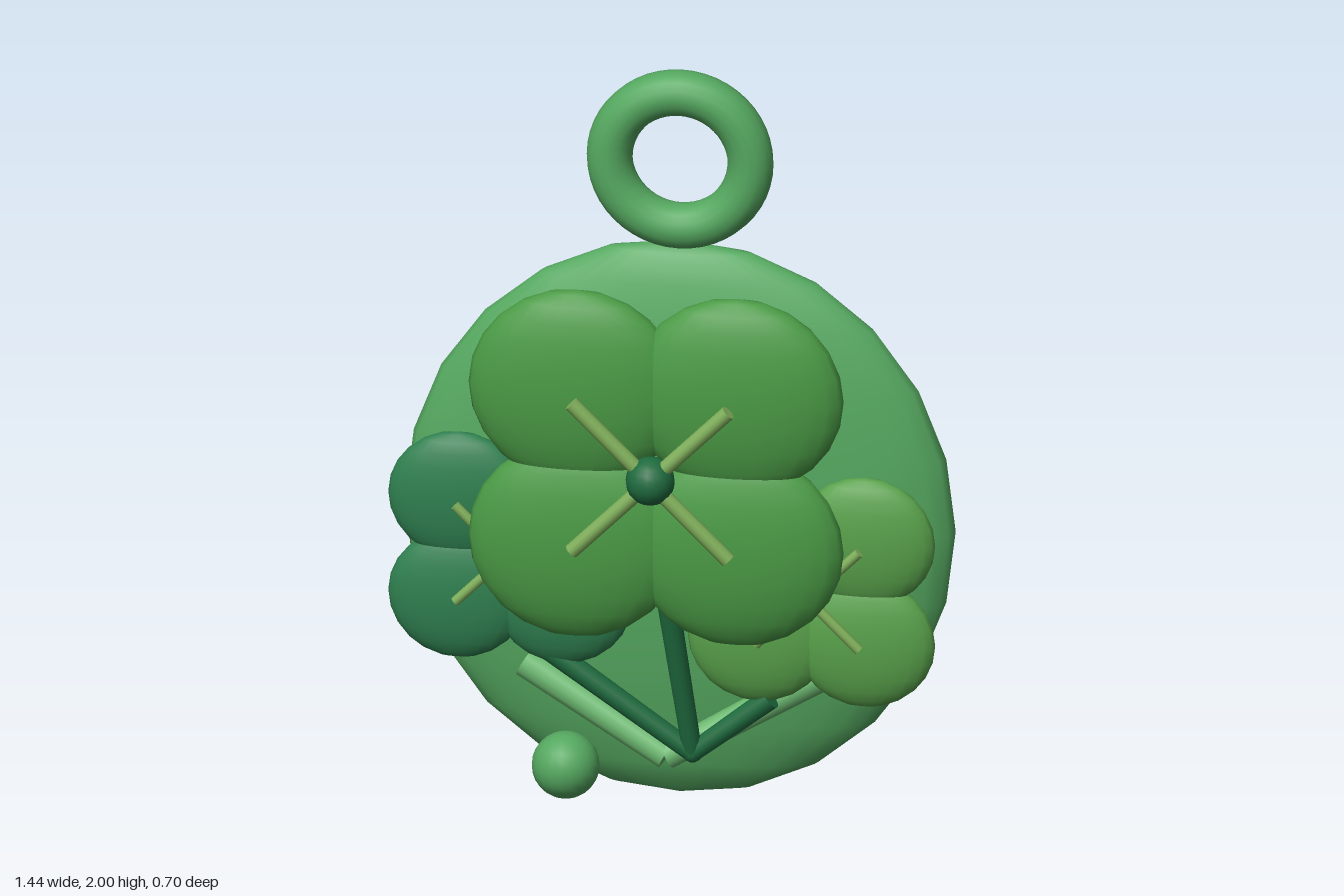
import * as THREE from 'three';

const mat = (color) => new THREE.MeshStandardMaterial({ color });
const DISC = mat(0x55a860), TWIG = mat(0x6cb870), DARK = mat(0x1f6b3f), VEIN = mat(0x7fae5a);

function part(parent, name, geometry, material, x = 0, y = 0, z = 0) {
  const mesh = new THREE.Mesh(geometry, material);
  mesh.name = name;
  mesh.position.set(x, y, z);
  parent.add(mesh);
  return mesh;
}

// Straight rod between two points, optionally tapered
function rod(parent, name, a, b, r0, r1, material) {
  const from = new THREE.Vector3(...a), to = new THREE.Vector3(...b);
  const dir = to.clone().sub(from);
  const mesh = part(parent, name, new THREE.CylinderGeometry(r1, r0, dir.length(), 12), material);
  mesh.position.copy(from).addScaledVector(dir, 0.5);
  mesh.quaternion.setFromUnitVectors(new THREE.Vector3(0, 1, 0), dir.normalize());
}

// Four overlapping leaves, crossed veins and a centre bead
function clover(parent, name, x, y, z, scale, color) {
  const group = new THREE.Group();
  group.name = name;
  group.position.set(x, y, z);
  group.scale.setScalar(scale);
  const leaf = mat(color);
  for (const sx of [-1, 1]) {
    for (const sy of [-1, 1]) {
      part(group, 'leaf', new THREE.SphereGeometry(1, 24, 12), leaf, sx * 0.21, sy * 0.21, 0)
        .scale.set(0.28, 0.27, 0.086);
    }
    rod(group, 'leafVein', [-0.205 * sx, -0.205, 0.105], [0.205 * sx, 0.205, 0.105], 0.02, 0.02, VEIN);
  }
  part(group, 'centreBead', new THREE.SphereGeometry(0.064, 16, 12), DARK, 0, 0, 0.098);
  parent.add(group);
}

export function createModel() {
  const model = new THREE.Group();
  model.name = 'cloverPendant';

  // Flattened backing disc and hanging ring
  part(model, 'backingDisc', new THREE.SphereGeometry(1, 32, 12), DISC, 0, 0.767, -0.205)
    .scale.set(0.72, 0.765, 0.145);
  part(model, 'hangingRing', new THREE.TorusGeometry(0.184, 0.06, 16, 48), DISC, 0, 1.756, -0.205);

  // Clovers
  clover(model, 'largeClover', 0, 1.055, 0.19, 1, 0x4a9a45);
  clover(model, 'rightClover', -0.4, 0.763, 0.072, 0.65, 0x2f8050);
  clover(model, 'leftClover', 0.387, 0.695, 0.072, 0.66, 0x58a04a);

  // Stems meeting near the bottom
  const foot = [0.075, 0.22, 0.065];
  for (const tip of [[0.02, 0.72, 0.165], [-0.32, 0.5, 0.07], [0.28, 0.385, 0.07]]) {
    rod(model, 'stem', foot, tip, 0.026, 0.03, DARK);
  }
  part(model, 'stemJoint', new THREE.SphereGeometry(0.027, 12, 8), DARK, ...foot);

  // V-shaped pair of twigs
  for (const s of [-1, 1]) {
    rod(model, 'twig', [0, 0.19, 0.025], [0.38 * s, 0.4, -0.05], 0.036, 0.042, TWIG);
  }

  // Small bead at the lower edge
  part(model, 'bead', new THREE.SphereGeometry(0.088, 20, 14), DISC, -0.27, 0.13, -0.022);
  return model;
}
